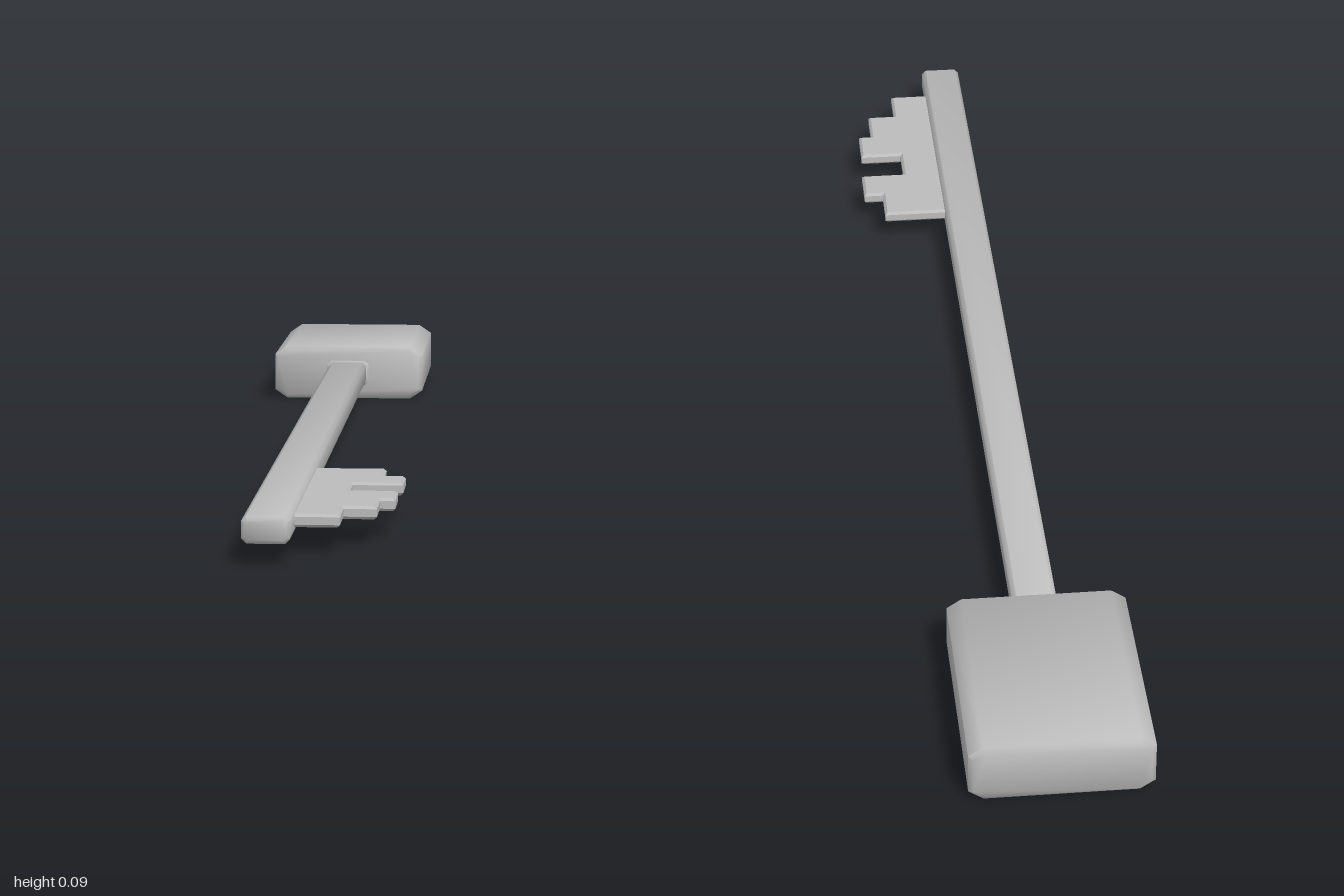
import * as THREE from 'three';
import { toCreasedNormals } from 'three/addons/utils/BufferGeometryUtils.js';

const steel = new THREE.MeshStandardMaterial({ color: 0xbcbcbc });
steel.name = 'steel grey';

// Extrude an outline to an exact depth, with a one-step bevel kept inside its bounds
function bevelled(points, depth, bevel) {
  const shape = new THREE.Shape(points.map(([x, y]) => new THREE.Vector2(x, y)));
  const geometry = new THREE.ExtrudeGeometry(shape, {
    depth: depth - 2 * bevel,
    bevelEnabled: true,
    bevelThickness: bevel,
    bevelSize: bevel,
    bevelOffset: -bevel,
    bevelSegments: 1,
  });
  return geometry.translate(0, 0, bevel);
}

// Bar along z with chamfered long edges (cx, cy) and bevelled ends
function bar(x0, x1, y0, y1, z0, z1, cx, cy, bevel) {
  const outline = [
    [x0 + cx, y0], [x1 - cx, y0], [x1, y0 + cy], [x1, y1 - cy],
    [x1 - cx, y1], [x0 + cx, y1], [x0, y1 - cy], [x0, y0 + cy],
  ];
  return bevelled(outline, z1 - z0, bevel).translate(0, 0, z0);
}

function addPart(group, name, geometry, crease) {
  const mesh = new THREE.Mesh(toCreasedNormals(geometry, crease), steel);
  mesh.name = name;
  group.add(mesh);
}

export function createModel() {
  const key = new THREE.Group();
  key.name = 'key';

  // Block handle, collar and long shank
  addPart(key, 'handle', bar(-0.152, 0.115, 0, 0.094, -1, -0.645, 0.022, 0.015, 0.007), 1);
  addPart(key, 'collar', bar(-0.057, 0.018, 0.025, 0.069, -0.66, -0.637, 0.007, 0.007, 0.002), 1);
  addPart(key, 'shank', bar(-0.053, 0.014, 0.028, 0.067, -0.65, 1, 0.007, 0.007, 0.006), 1);

  // Toothed bit: outline in x and z, laid flat
  const teeth = [
    [0, 0.51], [0.118, 0.51], [0.118, 0.577], [0.15, 0.577], [0.15, 0.643],
    [0.076, 0.643], [0.076, 0.711], [0.146, 0.711], [0.146, 0.78], [0.124, 0.78],
    [0.124, 0.85], [0.077, 0.85], [0.077, 0.92], [0, 0.92],
  ];
  const bit = bevelled(teeth, 0.019, 0.004).rotateX(Math.PI / 2).translate(0, 0.057, 0);
  addPart(key, 'bit', bit, 0.6);

  return key;
}
